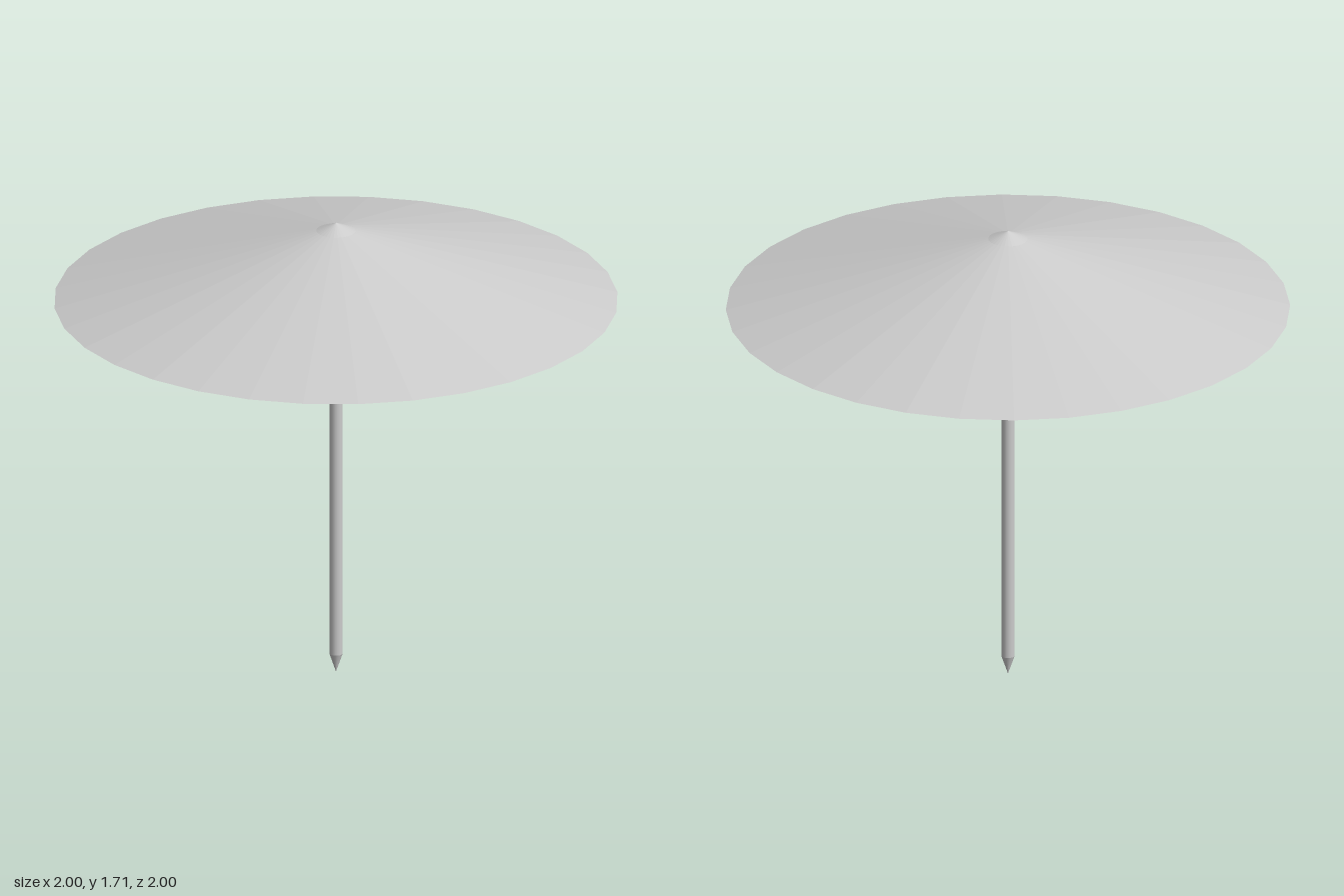
import * as THREE from 'three';

export function createModel() {
  const model = new THREE.Group();

  // Revolve a profile of [radius, height] points, listed bottom to top
  const addLathe = (name, profile, sides, flatShading) => {
    const points = profile.map(([r, y]) => new THREE.Vector2(r, y));
    const material = new THREE.MeshStandardMaterial({
      color: 0xcccccc, flatShading, side: THREE.DoubleSide,
    });
    const mesh = new THREE.Mesh(new THREE.LatheGeometry(points, sides), material);
    mesh.name = name;
    model.add(mesh);
  };

  // Thin open canopy
  addLathe('canopy', [[1, 1.415], [0.07, 1.68], [0, 1.695]], 32, true);

  // Small steeper cap at the peak
  addLathe('cap', [[0.07, 1.681], [0, 1.711]], 32, true);

  // Pole shaft running up to the underside of the canopy
  addLathe('pole', [[0.024, 0.07], [0.024, 1.685]], 16, false);

  // Ground spike
  addLathe('spike', [[0, 0], [0.024, 0.07]], 16, false);

  return model;
}
